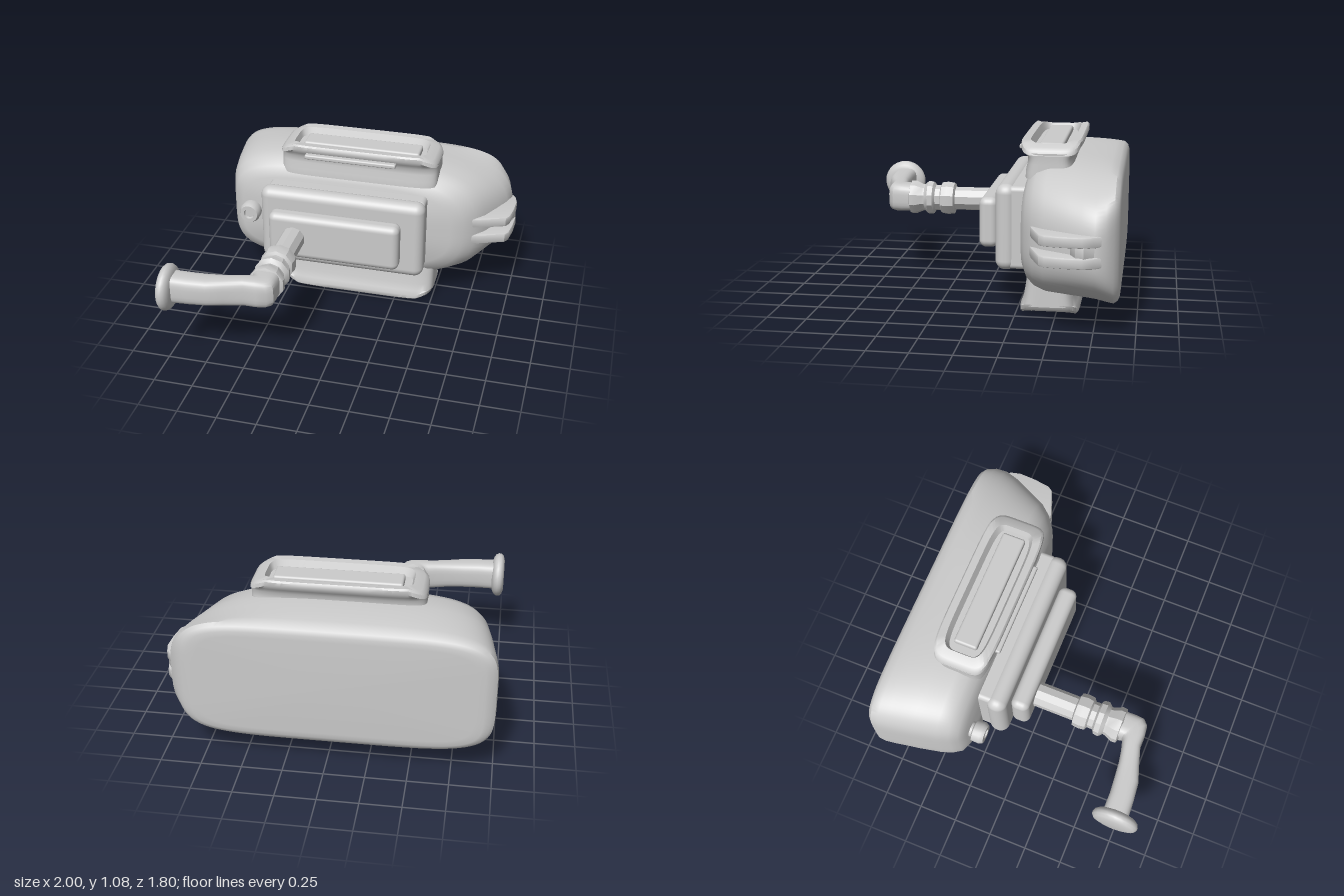
import * as THREE from 'three';
import { toCreasedNormals } from 'three/addons/utils/BufferGeometryUtils.js';
import { RoundedBoxGeometry } from 'three/addons/geometries/RoundedBoxGeometry.js';

const MID_Y = 0.543;
const PIPE_X = -0.385;

// Skin a list of rings (arrays of Vector3), closing both ends
function loft(rings, crease = 0.7) {
  const n = rings[0].length, pos = [], idx = [];
  rings.forEach(r => r.forEach(p => pos.push(p.x, p.y, p.z)));
  for (let i = 0; i < rings.length - 1; i++) {
    for (let j = 0; j < n; j++) {
      const a = i * n + j, b = i * n + (j + 1) % n, c = b + n, d = a + n;
      idx.push(a, b, c, a, c, d);
    }
  }
  [0, rings.length - 1].forEach((i, end) => {
    const c = new THREE.Vector3();
    rings[i].forEach(p => c.addScaledVector(p, 1 / n));
    const k = pos.length / 3;
    pos.push(c.x, c.y, c.z);
    for (let j = 0; j < n; j++) {
      const a = i * n + j, b = i * n + (j + 1) % n;
      if (end) idx.push(a, b, k); else idx.push(b, a, k);
    }
  });
  const g = new THREE.BufferGeometry();
  g.setAttribute('position', new THREE.Float32BufferAttribute(pos, 3));
  g.setIndex(idx);
  return toCreasedNormals(g, crease);
}

// Unit superellipse; the exponent may differ on the +x and -x halves
function superRing(n, expR, expL, place) {
  return Array.from({ length: n }, (_, j) => {
    const t = ((j + 0.5) / n) * Math.PI * 2, c = Math.cos(t), s = Math.sin(t);
    const e = 2 / (c > 0 ? expR : expL);
    return place(Math.sign(c) * Math.abs(c) ** e, Math.sign(s) * Math.abs(s) ** e);
  });
}

export function createModel() {
  const group = new THREE.Group();
  const mat = new THREE.MeshStandardMaterial({ color: 0xcccccc });
  const add = (name, geo, x = 0, y = 0, z = 0) => {
    const m = new THREE.Mesh(geo, mat);
    m.name = name;
    m.position.set(x, y, z);
    group.add(m);
    return m;
  };
  const lathe = (pts, seg, crease = 0.5) =>
    toCreasedNormals(new THREE.LatheGeometry(pts.map(p => new THREE.Vector2(...p)), seg), crease);

  // Main housing: z, left, right, bottom, top, squareness of the right and left halves
  const sections = [
    [-0.9, 0.88, 0.77, 0.22, 0.85, 6, 6], [-0.898, 0.93, 0.82, 0.19, 0.88, 6, 6],
    [-0.888, 0.97, 0.86, 0.165, 0.91, 5.5, 5.5],
    [-0.865, 0.995, 0.895, 0.145, 0.933, 4.8, 5], [-0.82, 1, 0.945, 0.135, 0.945, 3.5, 4.6],
    [-0.76, 0.993, 0.965, 0.13, 0.955, 2.9, 4.4], [-0.68, 0.98, 0.94, 0.13, 0.963, 2.8, 4.3],
    [-0.6, 0.967, 0.9, 0.13, 0.968, 2.8, 4.3], [-0.45, 0.937, 0.82, 0.14, 0.965, 3, 4.3],
    [-0.38, 0.913, 0.76, 0.16, 0.945, 3, 4.3], [-0.33, 0.885, 0.69, 0.195, 0.9, 3, 4.3],
    [-0.3, 0.83, 0.61, 0.26, 0.83, 3, 4.3],
  ];
  add('housing', loft(sections.map(([z, l, r, y0, y1, er, el]) =>
    superRing(96, er, el, (u, v) => new THREE.Vector3(
      u * (u > 0 ? r : l), (y0 + y1) / 2 + v * (y1 - y0) / 2, z)))));

  // Stepped mounting plates on the front
  add('plateBase', new RoundedBoxGeometry(1.07, 0.52, 0.14, 4, 0.03), -0.085, 0.543, -0.27);
  add('plateMiddle', new RoundedBoxGeometry(1.11, 0.54, 0.13, 5, 0.06), -0.095, 0.543, -0.185);
  add('plateFront', new RoundedBoxGeometry(0.88, 0.32, 0.12, 4, 0.045), -0.12, 0.54, -0.06);

  // Recessed rail frames above and below: height, half length, half depth
  const topWall = [[0.86, 0.53, 0.16], [0.9, 0.53, 0.158], [0.95, 0.528, 0.147], [0.99, 0.528, 0.147], [1.02, 0.53, 0.168]];
  const bottomWall = [[0.84, 0.53, 0.145], [0.9, 0.53, 0.152], [0.97, 0.53, 0.163], [1.02, 0.53, 0.175]];
  const rim = [[1.05, 0.53, 0.188], [1.075, 0.522, 0.187], [1.085, 0.5, 0.178], [1.08, 0.445, 0.135]];
  for (const s of [1, -1]) {
    const label = s > 0 ? 'top' : 'bottom';
    const flip = y => MID_Y + s * (y - MID_Y);
    const floor = s > 0 ? 1.03 : 0.965;
    const profile = [...(s > 0 ? topWall : bottomWall), ...rim, [floor, 0.43, 0.115]];
    add(label + 'RailFrame', loft(profile.map(([y, hx, hz]) => {
      const ring = superRing(64, 6, 6, (u, v) => {
        // The rim slopes away toward both ends
        const droop = y > 1.04 ? 0.4 * Math.max(0, Math.abs(u * hx) - 0.42) : 0;
        return new THREE.Vector3(-0.027 + u * hx, flip(y - droop), -0.455 - v * hz);
      });
      return s > 0 ? ring : ring.reverse();
    })));
  }
  add('topRailPanel', new RoundedBoxGeometry(0.78, 0.06, 0.15, 3, 0.015), -0.02, 1.035, -0.455);
  add('topRailLip', new RoundedBoxGeometry(0.61, 0.03, 0.05, 3, 0.01), -0.065, 1.018, -0.27);

  // Rounded humps inside the lower rail
  for (const x of [-0.29, -0.03, 0.23]) {
    const hump = new THREE.SphereGeometry(1, 20, 12);
    hump.scale(0.11, 0.05, 0.08);
    add('bottomRailHump', hump, x, 0.115, -0.455);
  }

  // Twin lug on the left end, closed toward the back by a web
  const lug = (name, pts, y, h) => {
    const shape = new THREE.Shape(pts.map(([x, z]) => new THREE.Vector2(x, -z)));
    const geo = new THREE.ExtrudeGeometry(shape, {
      depth: h - 0.02, bevelEnabled: true, bevelSize: 0.01, bevelThickness: 0.01, bevelSegments: 2,
    });
    geo.rotateX(-Math.PI / 2);
    add(name, toCreasedNormals(geo, 0.6), 0, y + 0.01, 0);
  };
  const fin = [[0.66, -0.36], [0.79, -0.39], [0.95, -0.45], [0.97, -0.48], [0.985, -0.58],
    [0.99, -0.69], [0.975, -0.75], [0.93, -0.81], [0.7, -0.8]];
  lug('upperLug', fin, 0.572, 0.065);
  lug('lowerLug', fin, 0.45, 0.065);
  lug('lugWeb', [[0.7, -0.4], [0.82, -0.48], [0.89, -0.62], [0.975, -0.66], [0.985, -0.7], [0.93, -0.8], [0.7, -0.8]], 0.49, 0.1);

  // Small knob beside the plates
  const knob = lathe([[0, -0.04], [0.05, -0.04], [0.05, 0.015], [0.07, 0.025], [0.072, 0.075],
    [0.06, 0.1], [0.035, 0.1], [0.03, 0.085], [0, 0.085]], 20, 0.8);
  add('knob', knob, -0.76, 0.56, -0.3).rotation.x = Math.PI / 2;

  // Faceted pipe with collars
  const pipe = lathe([[0.08, -0.03], [0.08, 0.265], [0.108, 0.275], [0.114, 0.32], [0.108, 0.36], [0.088, 0.37],
    [0.088, 0.405], [0.112, 0.42], [0.116, 0.455], [0.092, 0.48], [0.094, 0.495], [0.116, 0.545],
    [0.114, 0.575], [0.09, 0.585], [0, 0.585]], 10);
  add('pipe', pipe, PIPE_X, 0.543, 0).rotation.x = Math.PI / 2;

  // Elbow arm: outer x, outer z, inner x, inner z, half height
  const arm = [
    [-0.295, 0.55, -0.475, 0.55, 0.09], [-0.295, 0.64, -0.47, 0.59, 0.095], [-0.3, 0.695, -0.465, 0.605, 0.095],
    [-0.335, 0.728, -0.47, 0.61, 0.095], [-0.4, 0.736, -0.485, 0.615, 0.095], [-0.48, 0.736, -0.53, 0.627, 0.093],
    [-0.6, 0.772, -0.62, 0.643, 0.09], [-0.7, 0.805, -0.72, 0.652, 0.09], [-0.82, 0.817, -0.82, 0.66, 0.092],
    [-0.96, 0.825, -0.96, 0.66, 0.094],
  ];
  add('elbowArm', loft(arm.map(([ox, oz, ix, iz, h]) => superRing(28, 3.4, 3.4, (u, v) =>
    new THREE.Vector3((ox + ix) / 2 + u * (ox - ix) / 2, 0.545 + v * h, (oz + iz) / 2 + u * (oz - iz) / 2)))));

  // Flanged end of the arm
  const flange = lathe([[0, 0], [0.09, 0], [0.12, 0.008], [0.14, 0.022], [0.149, 0.04], [0.147, 0.058],
    [0.133, 0.073], [0.1, 0.082], [0, 0.082]], 28, 0.8);
  add('endFlange', flange, -0.918, 0.54, 0.75).rotation.z = Math.PI / 2;

  return group;
}
